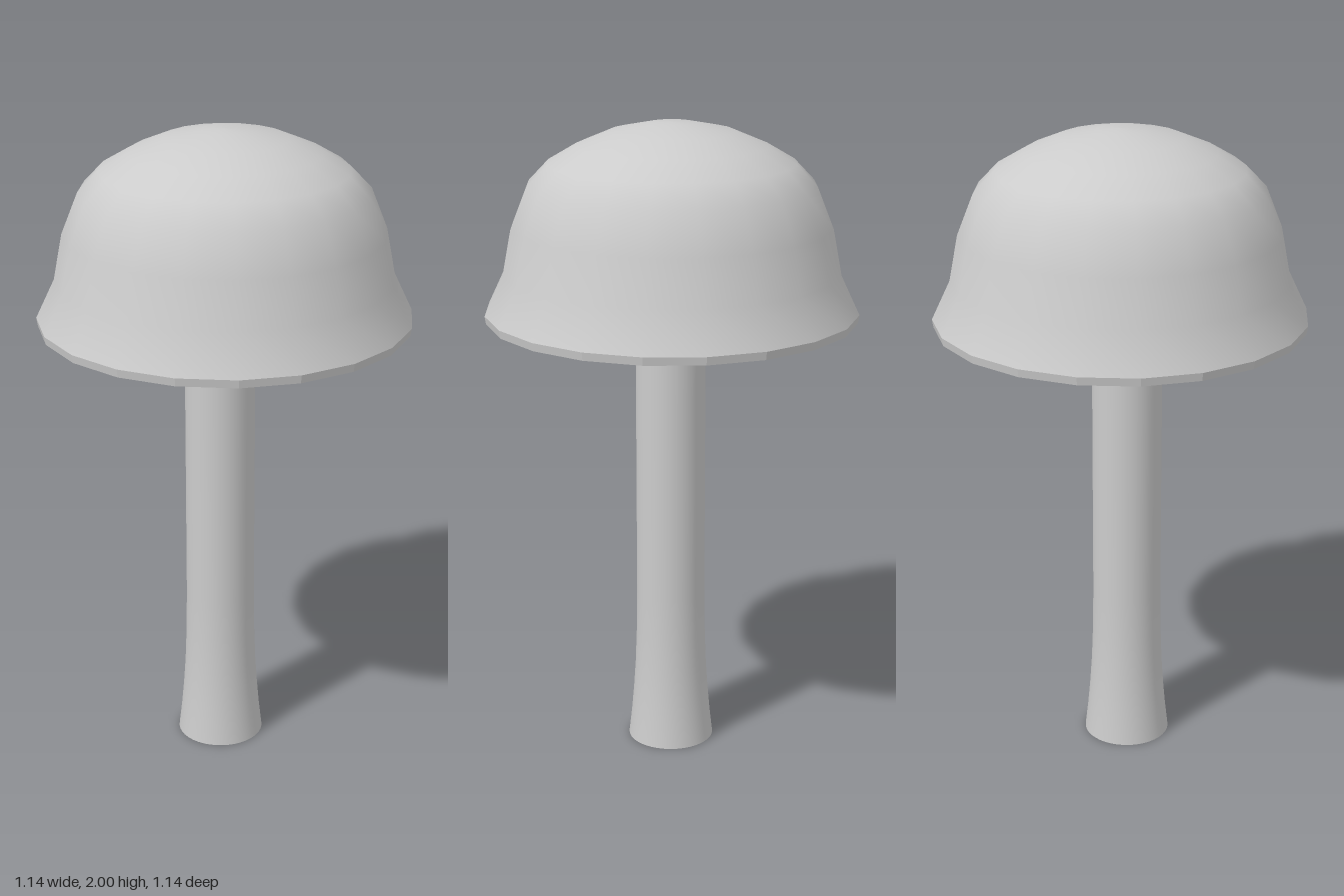
import * as THREE from 'three';

const material = new THREE.MeshStandardMaterial({ color: 0xcccccc, side: THREE.DoubleSide });
const flatMaterial = new THREE.MeshStandardMaterial({ color: 0xcccccc, side: THREE.DoubleSide, flatShading: true });

function lathe(name, profile, segments, mat = material) {
  const points = profile.map(([r, y]) => new THREE.Vector2(r, y));
  const mesh = new THREE.Mesh(new THREE.LatheGeometry(points, segments), mat);
  mesh.name = name;
  return mesh;
}

// Pleated disc: ridges hang level with the rim, valleys rise into the cap
function gillGeometry(count) {
  const steps = count * 2;
  const positions = [];
  const indices = [];
  for (let i = 0; i < steps; i++) {
    const a = (i / steps) * Math.PI * 2;
    const valley = i % 2 === 1;
    const outer = valley ? 0.54 : 0.555;
    const y = valley ? 1.45 : 1.407;
    positions.push(0.04 * Math.sin(a), y, 0.04 * Math.cos(a));
    positions.push(outer * Math.sin(a), y, outer * Math.cos(a));
    const p = i * 2;
    const q = ((i + 1) % steps) * 2;
    indices.push(p, q, p + 1, q, q + 1, p + 1);
  }
  const geometry = new THREE.BufferGeometry();
  geometry.setAttribute('position', new THREE.Float32BufferAttribute(positions, 3));
  geometry.setIndex(indices);
  geometry.computeVertexNormals();
  return geometry;
}

export function createModel() {
  const group = new THREE.Group();
  group.name = 'mushroom';

  // Bell-shaped cap with a flared skirt
  group.add(lathe('cap', [
    [0.571, 1.43], [0.514, 1.55], [0.487, 1.69], [0.437, 1.815],
    [0.375, 1.88], [0.29, 1.93], [0.19, 1.972], [0.07, 1.997], [0, 2],
  ], 20));

  // Thin lip around the bottom of the cap
  group.add(lathe('capRim', [[0.545, 1.405], [0.567, 1.405], [0.571, 1.43]], 20, flatMaterial));

  // Gills under the cap
  const gills = new THREE.Mesh(gillGeometry(60), flatMaterial);
  gills.name = 'gills';
  group.add(gills);

  // Stem flaring at the foot, set slightly forward
  const stem = lathe('stem', [
    [0.136, 0], [0.127, 0.08], [0.12, 0.16], [0.114, 0.25], [0.11, 0.36], [0.108, 0.5], [0.108, 1.47],
  ], 40);
  const foot = new THREE.Mesh(new THREE.CircleGeometry(0.136, 40), material);
  foot.name = 'stemFoot';
  foot.rotation.x = Math.PI / 2;
  stem.add(foot);
  stem.position.z = 0.02;
  group.add(stem);

  return group;
}
